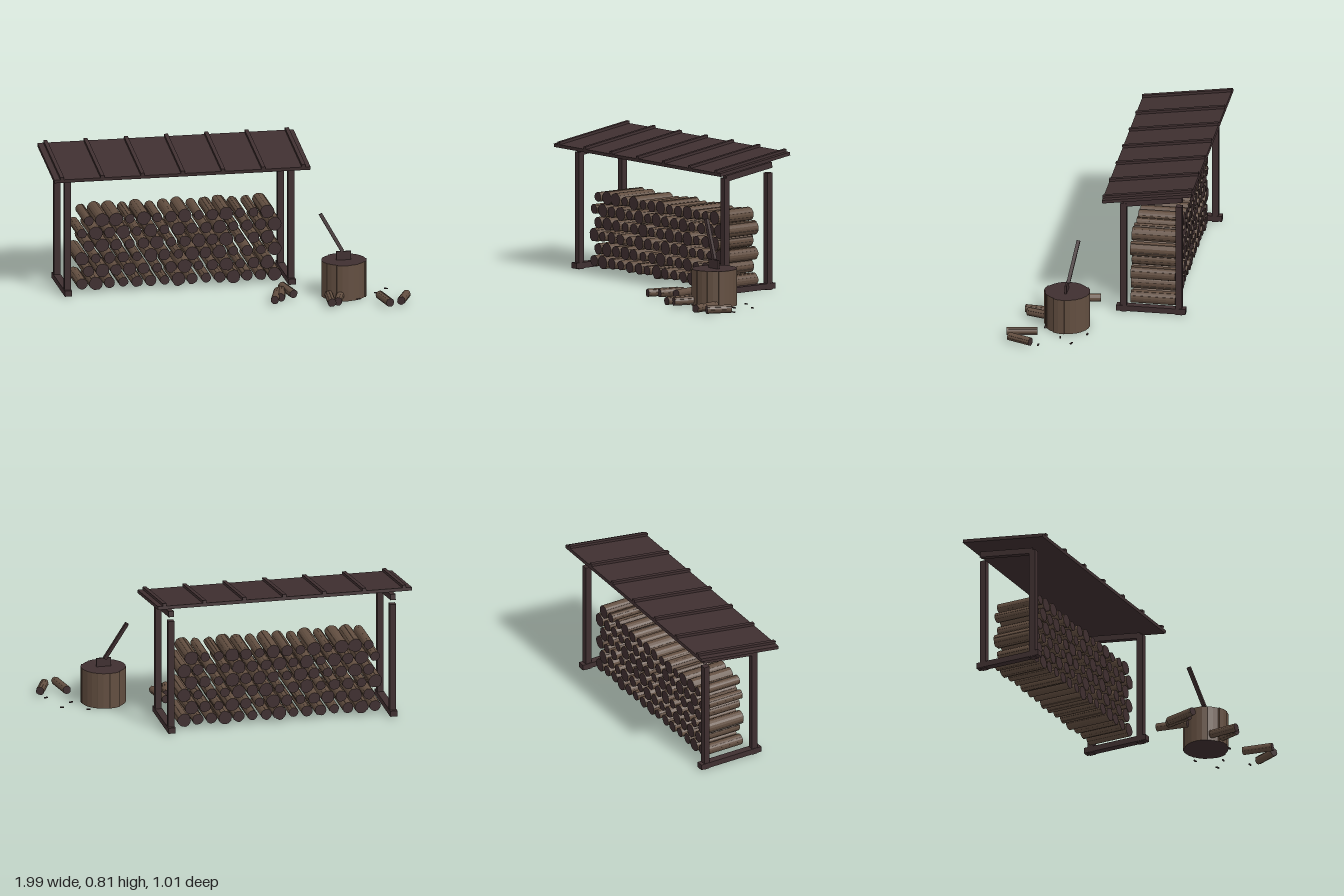
import * as THREE from 'three';

const mat = (name, color) => {
  const m = new THREE.MeshStandardMaterial({ color });
  m.name = name;
  return m;
};

export function createModel() {
  const root = new THREE.Group();
  root.name = 'firewoodShelter';
  const timber = mat('dark timber', 0x3f2f30);
  const bark = mat('bark', 0x624e40);

  let seed = 7;
  const rand = () => (seed = (seed * 16807) % 2147483647) / 2147483647;

  const add = (parent, name, geo, material) => {
    const m = new THREE.Mesh(geo, material);
    m.name = name;
    parent.add(m);
    return m;
  };
  const box = (parent, name, w, h, d, x, y, z) => {
    const m = add(parent, name, new THREE.BoxGeometry(w, h, d), timber);
    m.position.set(x, y, z);
    return m;
  };

  // Round timber along z: bark plates of slightly stepped radius, dark cut ends
  const logGeometry = (r, length, plates, step) => {
    const pts = [];
    const turn = rand() * Math.PI * 2;
    for (let i = 0; i < plates; i++) {
      const pr = r * (1 - step * rand());
      for (const t of [0.02, 0.5, 0.98]) {
        const a = turn + ((i + t) / plates) * Math.PI * 2;
        pts.push(new THREE.Vector2(Math.cos(a) * pr, Math.sin(a) * pr));
      }
    }
    const geo = new THREE.ExtrudeGeometry(new THREE.Shape(pts), { depth: length, bevelEnabled: false });
    return geo.translate(0, 0, -length / 2);
  };
  const log = (parent, name, r, length, plates = 9, step = 0.12) =>
    add(parent, name, logGeometry(r, length, plates, step), [timber, bark]);

  // Frame: two side frames of foot rail, posts and sloping top rail
  const slope = 0.144;
  for (const x of [-0.905, 0.387]) {
    const frame = new THREE.Group();
    frame.name = 'sideFrame';
    root.add(frame);
    box(frame, 'footRail', 0.042, 0.033, 0.398, x, 0.0215, -0.26);
    for (const z of [-0.102, -0.42]) box(frame, 'post', 0.036, 0.672, 0.036, x, 0.336, z);
    box(frame, 'topRail', 0.03, 0.034, 0.34, x, 0.692, -0.27).rotation.x = slope;
  }

  // Roof panel with raised battens
  const roof = new THREE.Group();
  roof.name = 'roof';
  roof.position.set(-0.26, 0.745, -0.249);
  roof.rotation.x = slope;
  root.add(roof);
  box(roof, 'roofPanel', 1.48, 0.019, 0.519, 0, 0, 0);
  for (let i = 0; i < 7; i++) box(roof, 'batten', 0.022, 0.016, 0.519, -0.695 + i * 0.2325, 0.0165, 0);

  // Stacked logs, bottom row first; digits are log radii (s small, m medium, b big)
  const rows = [
    'mbmsmmsbmsmbmmb', 'mbmbmsmbsmbsmb', 'bsmmsbmsbmbsmsb',
    'mbmsmbsmbmbsmb', 'sbmbsbsbmmbsmmb', 'sbbsbsmbsmbssb',
  ];
  const radius = { s: 0.029, m: 0.034, b: 0.041 };
  const stack = new THREE.Group();
  stack.name = 'logStack';
  root.add(stack);
  rows.forEach((row, j) => {
    [...row].forEach((size, i) => {
      const x = (j % 2 ? -0.775 : -0.813) + i * 0.0795;
      const m = log(stack, 'stackedLog', radius[size], 0.254 + rand() * 0.012);
      m.position.set(x, 0.053 + j * 0.0744, -0.26);
    });
  });

  // Chopping block
  const block = log(root, 'choppingBlock', 0.133, 0.21, 12, 0.07);
  block.rotation.x = -Math.PI / 2;
  block.position.set(0.637, 0.105, 0.184);

  // Axe stuck in the block
  const axe = new THREE.Group();
  axe.name = 'axe';
  root.add(axe);
  box(axe, 'axeHead', 0.085, 0.055, 0.011, 0.637, 0.2325, 0.186);
  const a = new THREE.Vector3(0.632, 0.258, 0.178);
  const b = new THREE.Vector3(0.512, 0.473, 0.138);
  const handle = box(axe, 'axeHandle', 0.02, a.distanceTo(b), 0.02, 0, 0, 0);
  handle.position.lerpVectors(a, b, 0.5);
  handle.quaternion.setFromUnitVectors(new THREE.Vector3(0, 1, 0), b.clone().sub(a).normalize());

  // Loose logs on the ground: x and z of each end
  const loose = [
    [0.308, 0.042, 0.342, 0.222], [0.288, 0.125, 0.258, 0.275], [0.264, 0.145, 0.213, 0.325],
    [0.535, 0.27, 0.522, 0.44], [0.602, 0.28, 0.56, 0.42],
    [0.818, 0.325, 0.847, 0.498], [0.972, 0.34, 0.915, 0.472],
  ];
  for (const [x0, z0, x1, z1] of loose) {
    const m = log(root, 'looseLog', 0.025, Math.hypot(x1 - x0, z1 - z0));
    m.position.set((x0 + x1) / 2, 0.033, (z0 + z1) / 2);
    m.rotation.y = Math.atan2(x1 - x0, z1 - z0);
  }

  // Wood chips
  const chips = [[0.757, 0.048], [0.895, 0.118], [0.825, 0.193], [0.947, 0.3], [0.7, 0.3]];
  for (const [x, z] of chips) {
    box(root, 'woodChip', 0.022, 0.006, 0.009, x, 0.006, z).rotation.y = (rand() - 0.5) * 0.6;
  }
  return root;
}
